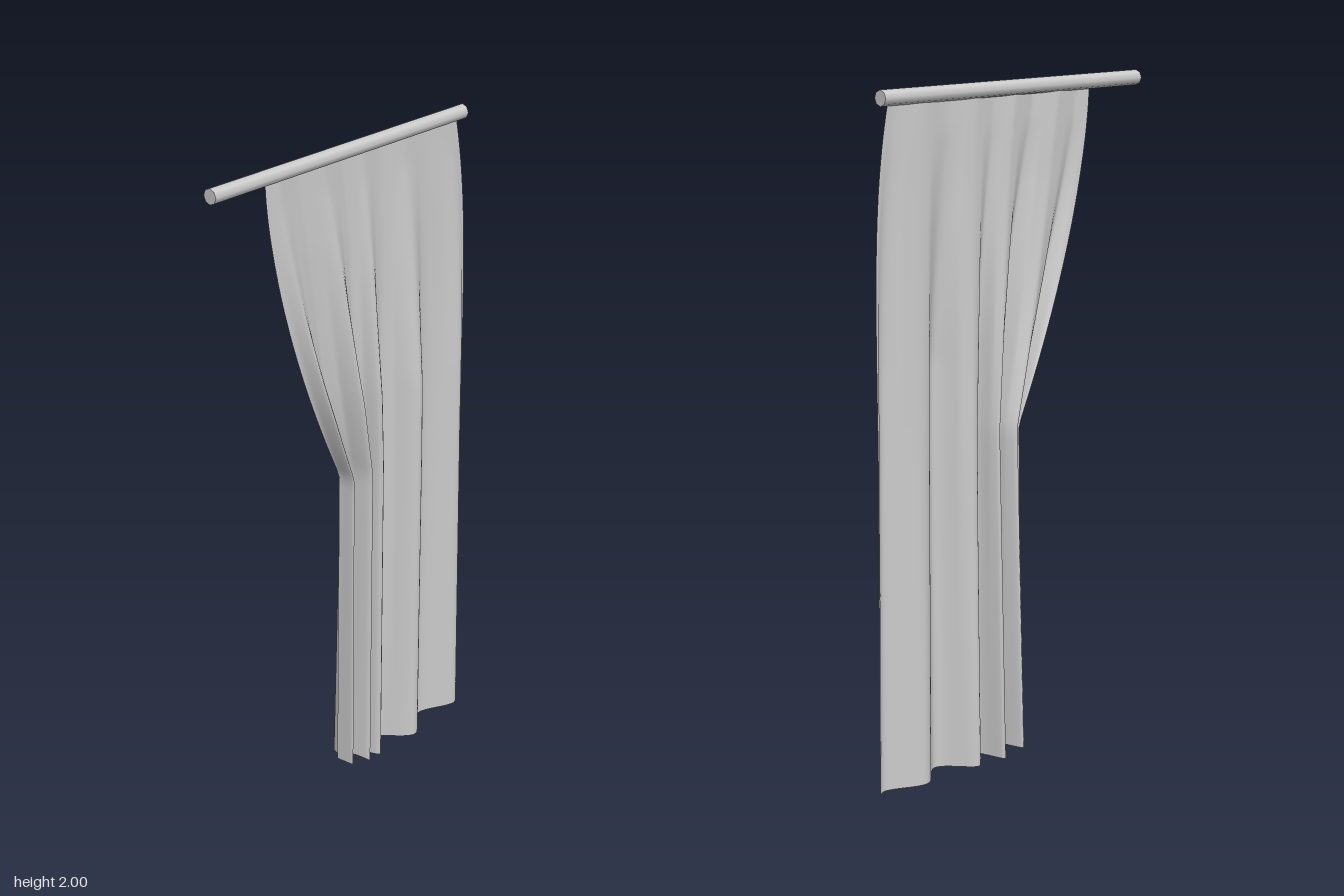
import * as THREE from 'three';

const TOP = 1.965, WAIST = 1.0;

// Fold crests of the cloth in plan, from back edge to front edge: [x, z]
const folds = [
  [-0.012, -0.53], [0.02, -0.49], [-0.026, -0.36], [0.052, -0.26], [-0.036, -0.16], [0.046, -0.1],
  [-0.05, -0.065], [0.058, -0.04], [-0.064, 0.0], [0.045, 0.022], [-0.02, 0.03],
];

// Gathered curtain: one pleated sheet, even at the rod and drawn back at the waist
function curtainGeometry(cols = 120, rows = 64) {
  const plan = new THREE.CatmullRomCurve3(
    folds.map(([x, z]) => new THREE.Vector3(x, 0, z)), false, 'centripetal');
  const points = plan.getSpacedPoints(cols);
  const geometry = new THREE.PlaneGeometry(1, 1, cols, rows);
  const pos = geometry.attributes.position;
  const { lerp, clamp, smoothstep } = THREE.MathUtils;

  for (let r = 0; r <= rows; r++) {
    for (let c = 0; c <= cols; c++) {
      const v = c / cols;
      const p = points[c];
      const hem = 0.02 * smoothstep(p.z, -0.06, -0.02);
      const y = lerp(TOP, hem, r / rows);

      // Spread from the waist out to the rod, bowed at the front, hanging at the back
      const t = clamp((y - WAIST) / (TOP - WAIST), 0, 1);
      const spread = lerp(t ** 4, 1 - (1 - t) ** 1.6, v);
      const lowZ = p.z + 0.015 * (1 - v) ** 4 * Math.min(y / WAIST, 1);
      const z = lerp(lowZ, lerp(-0.46, 0.325, v), spread);

      // Folds flatten toward the rod
      const depth = p.x > 0
        ? Math.min(0.92 + 0.1 * y, Math.max(0.12, 1.04 * (TOP - y) / 0.75), 1.03)
        : Math.max(0.12, 1 - y / TOP);
      pos.setXYZ(r * (cols + 1) + c, p.x * depth, y, z);
    }
  }
  geometry.computeVertexNormals();
  return geometry;
}

export function createModel() {
  const model = new THREE.Group();
  model.name = 'tiedCurtain';

  // Rod
  const rod = new THREE.Mesh(
    new THREE.CylinderGeometry(0.0225, 0.0225, 1.015, 8),
    new THREE.MeshStandardMaterial({ color: 0xcccccc }));
  rod.name = 'curtainRod';
  rod.rotation.x = Math.PI / 2;
  rod.position.set(0, 1.9775, 0.0225);
  model.add(rod);

  // Cloth
  const cloth = new THREE.Mesh(
    curtainGeometry(),
    new THREE.MeshStandardMaterial({ color: 0xcccccc, side: THREE.DoubleSide }));
  cloth.name = 'curtainCloth';
  model.add(cloth);

  return model;
}
